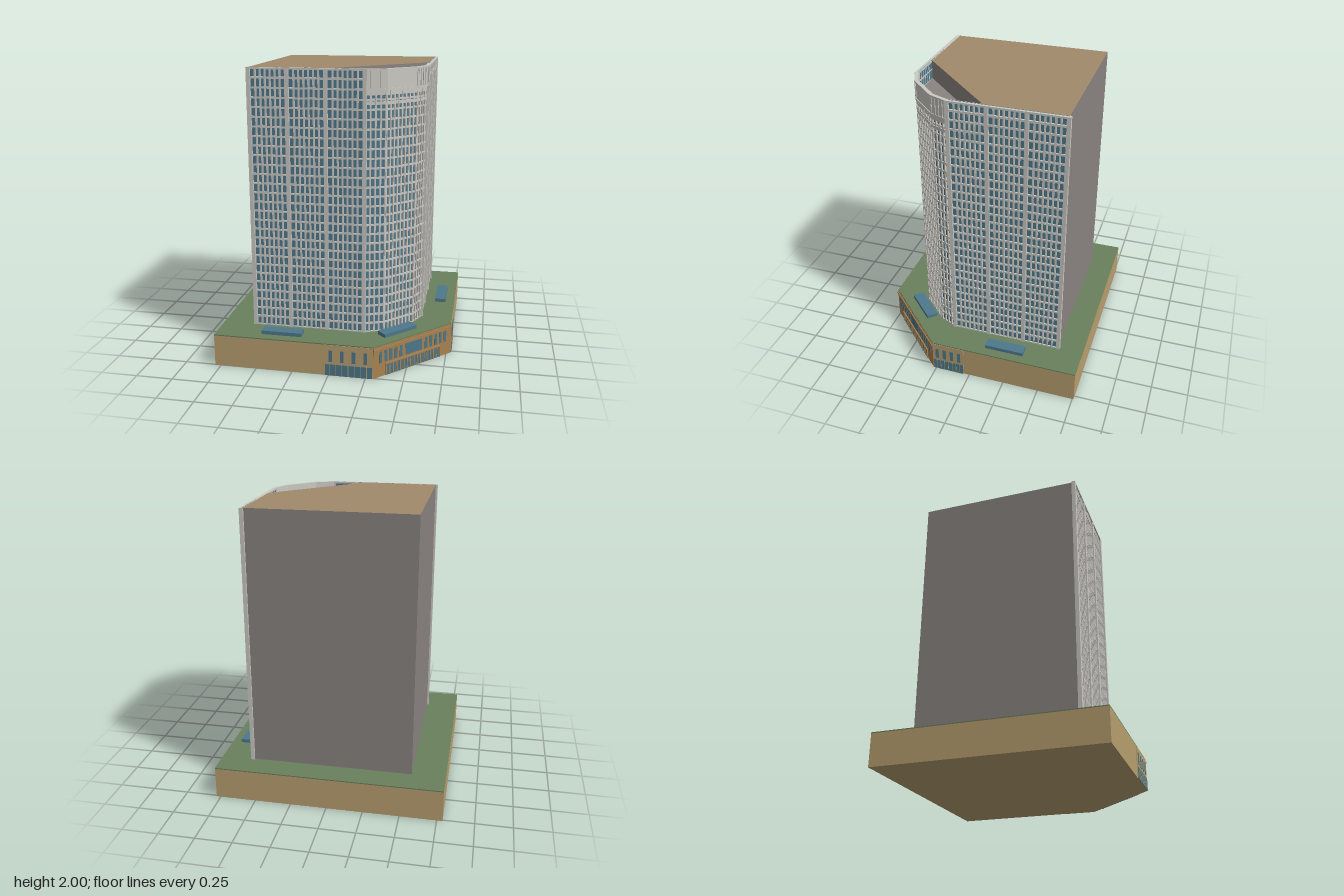
import * as THREE from 'three';
import { mergeGeometries } from 'three/addons/utils/BufferGeometryUtils.js';

const paint = (name, color) => {
  const m = new THREE.MeshStandardMaterial({ color });
  m.name = name;
  return m;
};

export function createModel() {
  const tan = paint('tan stone', 0xb89f6f);
  const brick = paint('brown stone', 0xaa8250);
  const green = paint('green roof', 0x68805c);
  const roofBrown = paint('brown roof', 0xa08a6c);
  const concrete = paint('grey concrete', 0x8a8480);
  const frame = paint('pale frame', 0xcbc9c3);
  const glass = paint('blue glass', 0x4e788c);

  const model = new THREE.Group();
  model.name = 'officeTower';

  // Upright prism from a plan outline of [x, z] points
  const prism = (name, plan, y0, y1, cap, side) => {
    const shape = new THREE.Shape(plan.map(([x, z]) => new THREE.Vector2(x, -z)));
    const geo = new THREE.ExtrudeGeometry(shape, { depth: y1 - y0, bevelEnabled: false });
    geo.rotateX(-Math.PI / 2).translate(0, y0, 0);
    const mesh = new THREE.Mesh(geo, [cap, side]);
    mesh.name = name;
    model.add(mesh);
  };

  // Box given by its limits: u along a wall, y up, d outwards
  const slab = (u0, u1, y0, y1, d0, d1) =>
    new THREE.BoxGeometry(u1 - u0, y1 - y0, d1 - d0)
      .translate((u0 + u1) / 2, (y0 + y1) / 2, (d0 + d1) / 2);

  // Wall running from a to b, left to right as seen from outside
  const wall = (name, a, b) => {
    const g = new THREE.Group();
    g.name = name;
    g.position.set(a[0], 0, a[1]);
    g.rotation.y = -Math.atan2(b[1] - a[1], b[0] - a[0]);
    model.add(g);
    const length = Math.hypot(b[0] - a[0], b[1] - a[1]);
    const add = (part, mat, boxes) => {
      const mesh = new THREE.Mesh(mergeGeometries(boxes), mat);
      mesh.name = part;
      g.add(mesh);
    };
    return { length, add };
  };

  // Podium with planted roof
  const deck = 0.225, crown = 1.87, top = 2;
  const base = [[-0.79, 0.755], [0.3, 0.755], [0.78, 0.27], [0.78, -0.76], [-0.79, -0.76]];
  prism('podium', base, 0, 0.218, tan, tan);
  prism('plantedRoof', base, 0.218, deck, green, green);

  // Tower body, sunken corner terrace, main roof
  const P = [[-0.56, 0.52], [0.2, 0.52], [0.325, 0.47], [0.5, 0.295], [0.55, 0.18], [0.55, -0.585]];
  prism('towerBody', [...P, [-0.56, -0.585]], deck, crown, concrete, concrete);
  prism('mainRoof', [P[0], [-0.03, 0.52], [0.55, -0.05], P[5], [-0.56, -0.585]], crown, top, roofBrown, concrete);

  const step = (crown - deck) / 26;
  const floors = Array.from({ length: 27 }, (_, i) => deck + i * step);

  // Two main facades: three bays of seven windows
  const facade = (name, a, b) => {
    const { length: L, add } = wall(name, a, b);
    const bay = L / 3;
    add('glazing', glass, [slab(0, L, deck, top, 0, 0.005)]);
    const mullions = [], columns = [];
    for (let i = 0; i <= 3; i++) {
      columns.push(slab(i * bay - 0.013, i * bay + 0.013, deck, top, -0.004, 0.022));
      for (let j = 1; i < 3 && j < 7; j++) {
        const u = i * bay + 0.013 + ((bay - 0.026) * j) / 7;
        mullions.push(slab(u - 0.0055, u + 0.0055, deck, top, 0, 0.016));
      }
    }
    add('mullions', frame, mullions);
    add('columns', frame, columns);
    add('floorBands', frame, [
      ...floors.map(y => slab(0, L, y - 0.006, y + 0.006, 0, 0.014)),
      slab(0, L, 1.928, 1.942, 0, 0.018),
      slab(0, L, 1.988, top, -0.004, 0.022),
    ]);
  };
  facade('frontFacade', P[0], P[1]);
  facade('leftFacade', P[4], P[5]);

  // Faceted corner with a solid crown
  const cornerFacade = (name, a, b, windows, ribs) => {
    const { length: L, add } = wall(name, a, b);
    add('glazing', glass, [slab(0, L, deck, crown, 0, 0.005)]);
    const mullions = [];
    for (let j = 0; j <= windows; j++) {
      const u = (L * j) / windows;
      mullions.push(slab(u - 0.0055, u + 0.0055, deck, crown, 0, 0.016));
    }
    add('mullions', frame, mullions);
    add('floorBands', frame, [
      ...floors.map(y => slab(0, L, y - 0.006, y + 0.006, 0, 0.014)),
      slab(0, L, 1.835, crown, 0, 0.015),
      slab(0, L, 1.775, 1.795, 0, 0.015),
    ]);
    const panel = [slab(-0.003, L + 0.003, crown, top, -0.004, 0.016),
      slab(-0.004, L + 0.004, crown - 0.004, crown + 0.008, 0, 0.022),
      slab(-0.004, L + 0.004, top - 0.01, top, -0.004, 0.022)];
    for (let j = 0; j <= ribs; j++) {
      const u = (L * j) / ribs;
      panel.push(slab(u - 0.006, u + 0.006, crown, top, 0, 0.021));
    }
    add('crown', frame, panel);
  };
  cornerFacade('cornerFront', P[1], P[2], 4, 4);
  cornerFacade('cornerMiddle', P[2], P[3], 8, 1);
  cornerFacade('cornerLeft', P[3], P[4], 4, 4);

  // Podium shopfronts beside the entrance
  const shopfront = (name, a, b, inset) => {
    const { length: L, add } = wall(name, a, b);
    add('cladding', tan, [slab(0, L, 0, 0.218, 0, 0.003)]);
    const panes = [slab(inset, L - 0.005, 0, 0.08, 0, 0.006)];
    const bars = [];
    for (let i = 0; i < 4; i++) {
      const u = L * (0.14 + 0.235 * i);
      panes.push(slab(u - 0.012, u + 0.012, 0.098, 0.18, 0, 0.006));
    }
    for (let i = 1; i < 8; i++) bars.push(slab((L * i) / 8 - 0.002, (L * i) / 8 + 0.002, 0, 0.08, 0, 0.008));
    add('windows', glass, panes);
    add('bars', tan, bars);
  };
  shopfront('frontShop', [-0.03, 0.755], base[1], 0.01);
  shopfront('leftShop', base[2], [0.78, 0.04], 0.005);

  // Entrance on the cut corner
  const { length: L, add } = wall('entrance', base[1], base[2]);
  add('cladding', brick, [
    slab(0, L, 0, 0.218, 0, 0.003),
    slab(0, L, 0.194, 0.206, 0, 0.01),
    slab(0.1, L - 0.1, 0.078, 0.088, 0, 0.012),
  ]);
  const panes = [slab(0.107, L - 0.107, 0, 0.075, 0, 0.006), slab(0.27, L - 0.27, 0.1, 0.182, 0, 0.006)];
  for (let i = 0; i < 5; i++) {
    for (const u of [0.06 + i * 0.043, L - 0.06 - i * 0.043]) {
      panes.push(slab(u - 0.011, u + 0.011, 0.1, 0.182, 0, 0.006));
    }
  }
  add('windows', glass, panes);
  const bars = [];
  for (let i = 0; i <= 16; i++) {
    const u = 0.107 + ((L - 0.214) * i) / 16;
    bars.push(slab(u - 0.004, u + 0.004, 0, 0.078, 0, 0.01));
  }
  add('bars', brick, bars);

  // Skylights on the podium roof
  for (const [x, z, turn] of [[-0.337, 0.65, 0], [0.425, 0.475, Math.PI / 4], [0.677, -0.235, Math.PI / 2]]) {
    const light = new THREE.Mesh(new THREE.BoxGeometry(0.275, 0.025, 0.077), glass);
    light.name = 'skylight';
    light.position.set(x, deck + 0.0125, z);
    light.rotation.y = turn;
    model.add(light);
  }
  return model;
}
